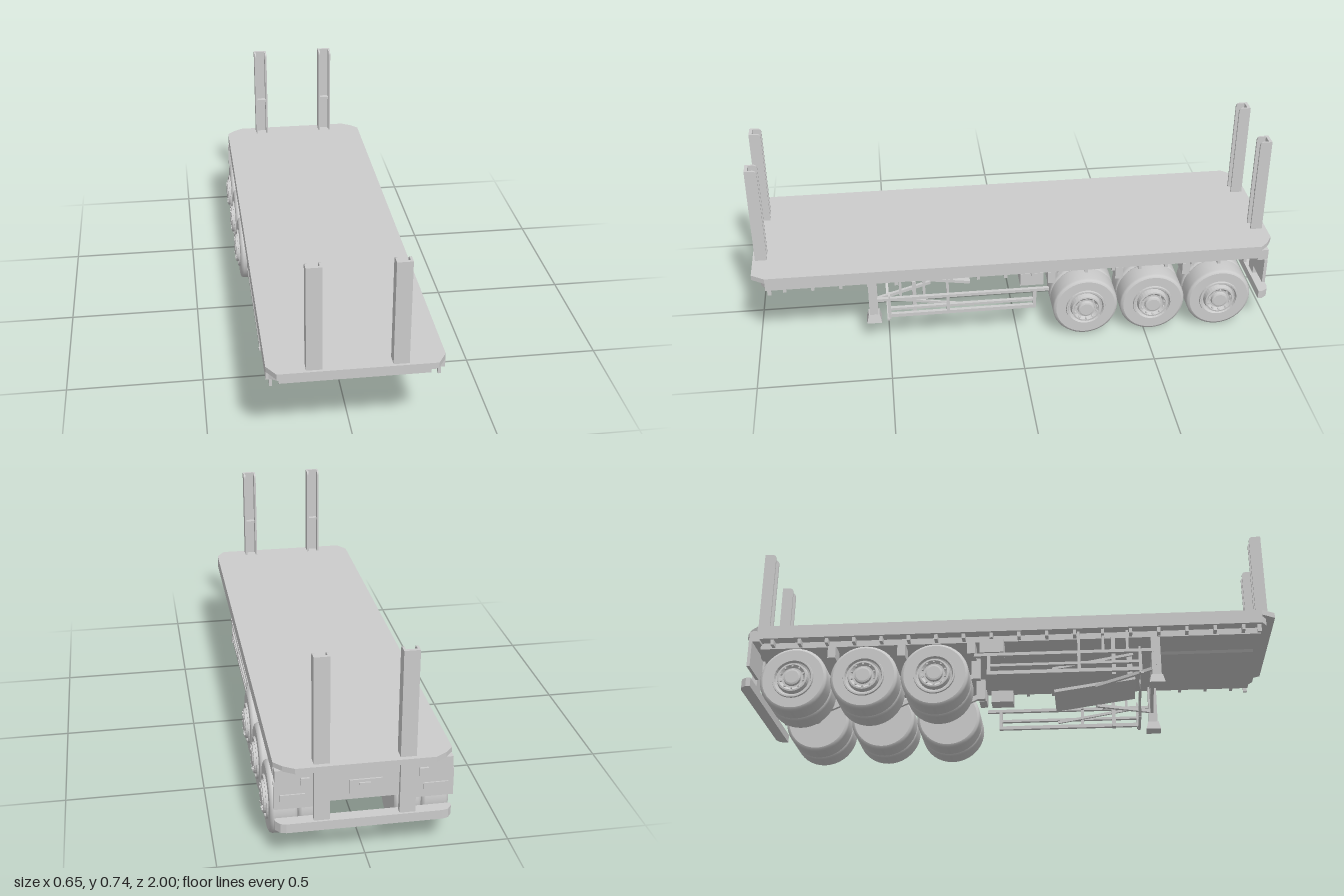
import * as THREE from 'three';

export function createModel() {
  const root = new THREE.Group();
  const mat = new THREE.MeshStandardMaterial({ color: 0xcccccc });
  const smooth = mat;
  const flat = new THREE.MeshStandardMaterial({ color: 0xcccccc, side: THREE.DoubleSide, flatShading: true });

  const add = (name, geo, parent = root, m = flat) => {
    const mesh = new THREE.Mesh(geo, m);
    mesh.name = name;
    parent.add(mesh);
    return mesh;
  };
  // box given by its limits
  const box = (name, x0, x1, y0, y1, z0, z1, parent = root) => {
    const mesh = add(name, new THREE.BoxGeometry(Math.abs(x1 - x0), y1 - y0, Math.abs(z1 - z0)), parent);
    mesh.position.set((x0 + x1) / 2, (y0 + y1) / 2, (z0 + z1) / 2);
    return mesh;
  };
  const shapeOf = pts => new THREE.Shape(pts.map(p => new THREE.Vector2(p[0], p[1])));
  const extrude = (shape, depth) => new THREE.ExtrudeGeometry(shape, { depth, bevelEnabled: false });
  const mirrored = half => [...half, ...half.slice().reverse().map(([x, y]) => [-x, y])];
  // horizontal slab from an [x, z] outline
  const slab = (name, pts, y0, y1) =>
    add(name, extrude(shapeOf(pts.map(([x, z]) => [x, -z])), y1 - y0).rotateX(-Math.PI / 2).translate(0, y0, 0));
  // bar between two points
  const bar = (name, a, b, w, h, parent = root) => {
    const va = new THREE.Vector3(...a), vb = new THREE.Vector3(...b);
    const mesh = add(name, new THREE.BoxGeometry(w, h, va.distanceTo(vb)), parent);
    mesh.position.copy(va).add(vb).multiplyScalar(0.5);
    mesh.lookAt(vb);
    return mesh;
  };

  // Deck, front lip and recessed chassis
  slab('deckTop', mirrored([[0.27, 1], [0.302, 0.95], [0.302, -0.945], [0.275, -0.975], [0.235, -1]]), 0.33, 0.35);
  slab('deckSide', mirrored([[0.302, 0.95], [0.302, -0.94]]), 0.298, 0.331);
  slab('frontFascia', mirrored([[0.265, 0.967], [0.292, 0.95]]), 0.302, 0.331);
  slab('chassis', mirrored([[0.258, 0.945], [0.258, -0.94]]), 0.274, 0.3);
  add('couplingPlate', extrude(shapeOf([[-0.135, 0.29], [-0.115, 0.265], [0.115, 0.265], [0.135, 0.29]]), 0.38).translate(0, 0, 0.55));
  for (const s of [-1, 1]) {
    for (let i = 0; i < 18; i++) {
      const z = 0.88 - i * 0.104;
      box('outrigger', s * 0.256, s * 0.292, 0.278, 0.299, z - 0.006, z + 0.006);
    }
    box('markerLamp', s * 0.28, s * 0.29, 0.268, 0.3, 0.93, 0.945);
  }

  // Stakes: open channels facing the load
  const stake = (name, x, dir) => {
    const g = new THREE.Group();
    g.name = name;
    g.position.set(x, 0, dir > 0 ? 0.99 : -0.983);
    g.scale.z = dir;
    const side = new THREE.Shape();
    side.moveTo(0, 0.345);
    side.lineTo(0, 0.735);
    side.lineTo(-0.028, 0.735);
    side.quadraticCurveTo(-0.045, 0.735, -0.045, 0.718);
    side.lineTo(-0.045, 0.345);
    for (const e of [-0.019, 0.027])
      add('stakeFlange', extrude(side, 0.008).rotateY(-Math.PI / 2).translate(e, 0, 0), g);
    box('stakeWeb', -0.027, 0.027, 0.345, 0.735, -0.012, 0, g);
    box('stakeCrossPin', -0.02, 0.02, 0.5, 0.51, -0.034, -0.012, g);
    root.add(g);
  };
  for (const x of [-0.145, 0.145]) {
    stake('frontStake', x, 1);
    stake('rearStake', x, -1);
  }

  // Dual wheels: two tyres, dished rim, hub and bolts along local +y
  const lathe = (pts, n) => new THREE.LatheGeometry(pts.map(p => new THREE.Vector2(p[0], p[1])), n);
  const tyre = lathe([[0, 0], [0.115, 0], [0.115, 0], [0.123, 0.004], [0.127, 0.012], [0.127, 0.082], [0.123, 0.09], [0.115, 0.094], [0.115, 0.094], [0.075, 0.094]], 40);
  const rim = lathe([[0.078, 0.092], [0.076, 0.101], [0.07, 0.101], [0.066, 0.09], [0.06, 0.088], [0.056, 0.108], [0.05, 0.109], [0.04, 0.1], [0.033, 0.1], [0.031, 0.11], [0.025, 0.112], [0, 0.112]], 32);
  const wheel = (s, z) => {
    const g = new THREE.Group();
    g.name = 'dualWheel';
    g.position.set(s * 0.118, 0.127, z);
    g.rotation.z = -s * Math.PI / 2;
    add('innerTyre', tyre, g, smooth);
    add('outerTyre', tyre, g, smooth).position.y = 0.096;
    add('rim', rim, g, flat).position.y = 0.096;
    for (let i = 0; i < 10; i++) {
      const a = i * Math.PI / 5;
      add('wheelNut', new THREE.CylinderGeometry(0.004, 0.004, 0.012, 6), g)
        .position.set(0.044 * Math.cos(a), 0.202, 0.044 * Math.sin(a));
    }
    root.add(g);
  };
  for (const z of [-0.263, -0.527, -0.792]) {
    for (const s of [-1, 1]) {
      wheel(s, z);
      // Suspension hanger and trailing arm
      box('suspensionHanger', s * 0.09, s * 0.112, 0.19, 0.28, z + 0.115, z + 0.15);
      bar('trailingArm', [s * 0.1, 0.205, z + 0.13], [s * 0.1, 0.14, z - 0.02], 0.014, 0.02);
      box('springBracket', s * 0.2, s * 0.27, 0.225, 0.275, z + 0.115, z + 0.145);
    }
    add('axle', new THREE.CylinderGeometry(0.014, 0.014, 0.24, 16).rotateZ(Math.PI / 2), root, smooth).position.set(0, 0.127, z);
  }

  // Landing gear
  add('landingCrossPlate', extrude(shapeOf(mirrored([[0.258, 0.28], [0.258, 0.16], [0.212, 0.16], [0.13, 0.198]])), 0.012).translate(0, 0, 0.545));
  for (const s of [-1, 1]) {
    box('landingLeg', s * 0.217, s * 0.257, 0.115, 0.28, 0.538, 0.572);
    const foot = new THREE.CylinderGeometry(0.021 * Math.SQRT2, 0.029 * Math.SQRT2, 0.034, 4).rotateY(Math.PI / 4);
    add('landingFoot', foot).position.set(s * 0.237, 0.106, 0.555);
    const path = [[0.29, 0.12, 0.5], [0.14, 0.12, 0.5], [0.098, 0.168, 0.5], [0, 0.168, 0.5]];
    for (let i = 0; i < 3; i++)
      bar('crossBrace', path[i].map((v, k) => k ? v : v * s), path[i + 1].map((v, k) => k ? v : v * s), 0.01, 0.01);
    bar('diagonalBrace', [s * 0.21, 0.165, 0.54], [s * 0.098, 0.15, 0.33], 0.012, 0.012);
    box('braceBracket', s * 0.1, s * 0.115, 0.185, 0.275, 0.45, 0.47);
  }
  bar('slopingPlate', [0, 0.18, 0.48], [0, 0.135, 0.17], 0.196, 0.012);

  // Side guards
  for (const s of [-1, 1]) {
    const xi = s * 0.274, xo = s * 0.288;
    box('guardTopRail', xi, xo, 0.203, 0.215, -0.12, 0.54);
    box('guardMiddleRail', xi, xo, 0.16, 0.17, -0.07, 0.5);
    box('guardBottomRail', xi, xo, 0.128, 0.142, -0.07, 0.5);
    for (const z of [0.495, 0.27, -0.065]) box('guardPost', xi, xo, 0.128, 0.215, z - 0.006, z + 0.006);
    for (const z of [0.45, 0.36, 0.27]) box('guardHanger', s * 0.262, xi, 0.205, 0.3, z - 0.005, z + 0.005);
    bar('guardStrut', [s * 0.27, 0.2, 0.47], [s * 0.27, 0.15, 0.17], 0.008, 0.01);
    box('guardEndPlate', s * 0.258, xo, 0.12, 0.225, 0.49, 0.497);
    box('valveBox', s * 0.21, s * 0.275, 0.225, 0.278, -0.1, -0.01);
    box('guardFitting', s * 0.25, s * 0.275, 0.12, 0.275, 0.39, 0.405);
  }

  // Rear panels, stake supports, lamps and bumper
  box('rearCentrePanel', -0.118, 0.118, 0.2, 0.33, -0.972, -0.96);
  box('rearPlate', -0.06, 0.05, 0.225, 0.275, -0.978, -0.97);
  box('rearLatch', -0.02, 0.02, 0.235, 0.265, -0.984, -0.976);
  box('rearBeam', -0.3, 0.3, 0.288, 0.332, -0.975, -0.935);
  for (const s of [-1, 1]) {
    box('stakeSupport', s * 0.118, s * 0.172, 0.135, 0.335, -0.99, -0.968);
    box('rearSidePanel', s * 0.172, s * 0.304, 0.185, 0.288, -0.974, -0.962);
    box('rearLamp', s * 0.2, s * 0.285, 0.215, 0.24, -0.979, -0.972);
    box('rearHinge', s * 0.185, s * 0.215, 0.27, 0.3, -0.983, -0.97);
  }
  slab('rearBumper', mirrored([[0.3, -0.955], [0.3, -0.972], [0.285, -0.992], [0.265, -0.998]]), 0.106, 0.14);

  return root;
}
